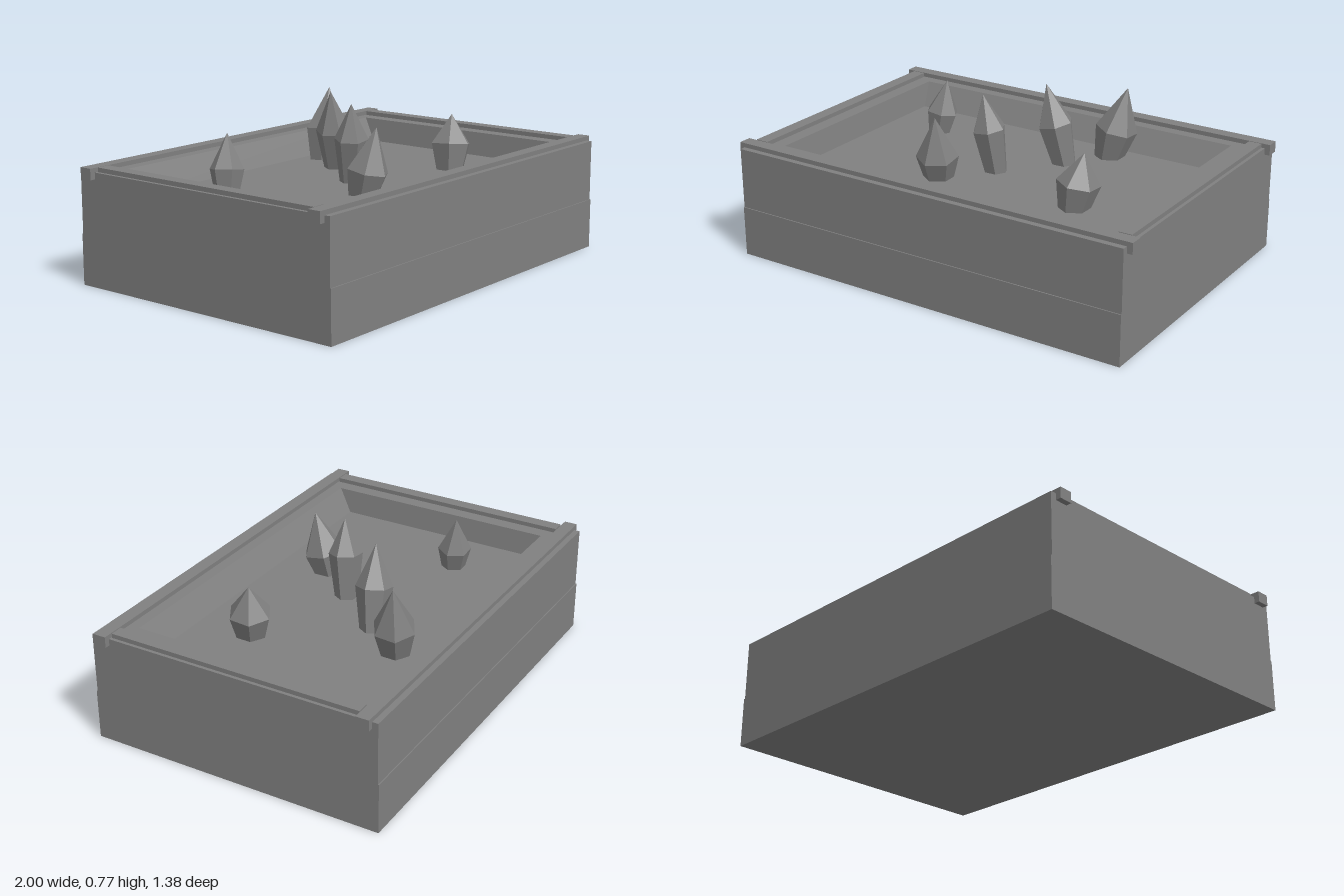
import * as THREE from 'three';

const stone = new THREE.MeshStandardMaterial({ color: 0x808080, flatShading: true });
stone.name = 'stone grey';

// Skin a stack of rectangular rings [halfX, halfZ, y] listed from the underside up and inward
function rectShell(rings) {
  const pos = [], idx = [];
  for (const [hx, hz, y] of rings) {
    pos.push(hx, y, hz, hx, y, -hz, -hx, y, -hz, -hx, y, hz);
  }
  for (let r = 0; r < rings.length - 1; r++) {
    for (let i = 0; i < 4; i++) {
      const a = r * 4 + i, b = r * 4 + (i + 1) % 4;
      idx.push(a, b, b + 4, a, b + 4, a + 4);
    }
  }
  const g = new THREE.BufferGeometry();
  g.setAttribute('position', new THREE.Float32BufferAttribute(pos, 3));
  g.setIndex(idx);
  const flat = g.toNonIndexed();
  flat.computeVertexNormals();
  return flat;
}

function add(group, name, geometry, x = 0, y = 0, z = 0) {
  const mesh = new THREE.Mesh(geometry, stone);
  mesh.name = name;
  mesh.position.set(x, y, z);
  group.add(mesh);
  return mesh;
}

// Six-sided crystal: narrow foot, wide shoulder, pointed tip, leaning along its axis
function addCrystal(group, shoulder, tip, radius, phase) {
  const base = new THREE.Vector3(...shoulder);
  const axis = new THREE.Vector3(...tip).sub(base);
  const foot = base.y - 0.385;
  const profile = [[0, -foot], [radius * 0.68, -foot], [radius, 0], [0, axis.length()]]
    .map(([x, y]) => new THREE.Vector2(x, y));
  const mesh = add(group, 'crystal', new THREE.LatheGeometry(profile, 6, phase), ...shoulder);
  mesh.quaternion.setFromUnitVectors(new THREE.Vector3(0, 1, 0), axis.normalize());
}

export function createModel() {
  const model = new THREE.Group();
  model.name = 'crystalPlanter';

  // Box with thicker lower planks, flat rim, sloping inner walls and a sunken floor
  add(model, 'box', rectShell([
    [0, 0, 0],
    [0.975, 0.692, 0],
    [0.975, 0.692, 0.23],
    [0.975, 0.687, 0.23],
    [0.975, 0.687, 0.51],
    [0.835, 0.548, 0.51],
    [0.817, 0.484, 0.4],
    [0, 0, 0.4],
  ]));

  // Long rails overhanging the ends, and short rails between them
  for (const s of [-1, 1]) {
    add(model, 'longRail', new THREE.BoxGeometry(2, 0.05, 0.06), 0, 0.505, s * 0.63);
    add(model, 'endRail', new THREE.BoxGeometry(0.06, 0.04, 1.19), s * 0.93, 0.51, 0);
  }

  // Crystals: shoulder centre, tip, radius, turn
  const crystals = new THREE.Group();
  crystals.name = 'crystals';
  const turn = Math.PI / 6;
  [
    [[-0.535, 0.5, -0.245], [-0.515, 0.655, -0.26], 0.077, turn],
    [[0.13, 0.585, -0.19], [0.09, 0.77, -0.175], 0.083, turn],
    [[0.33, 0.535, -0.4], [0.375, 0.735, -0.415], 0.097, 0],
    [[-0.06, 0.6, 0.065], [-0.08, 0.76, 0.08], 0.077, turn],
    [[-0.2, 0.505, 0.265], [-0.185, 0.695, 0.3], 0.096, 0],
    [[0.495, 0.515, 0.215], [0.515, 0.65, 0.205], 0.097, 0],
  ].forEach((c) => addCrystal(crystals, ...c));
  model.add(crystals);

  return model;
}
